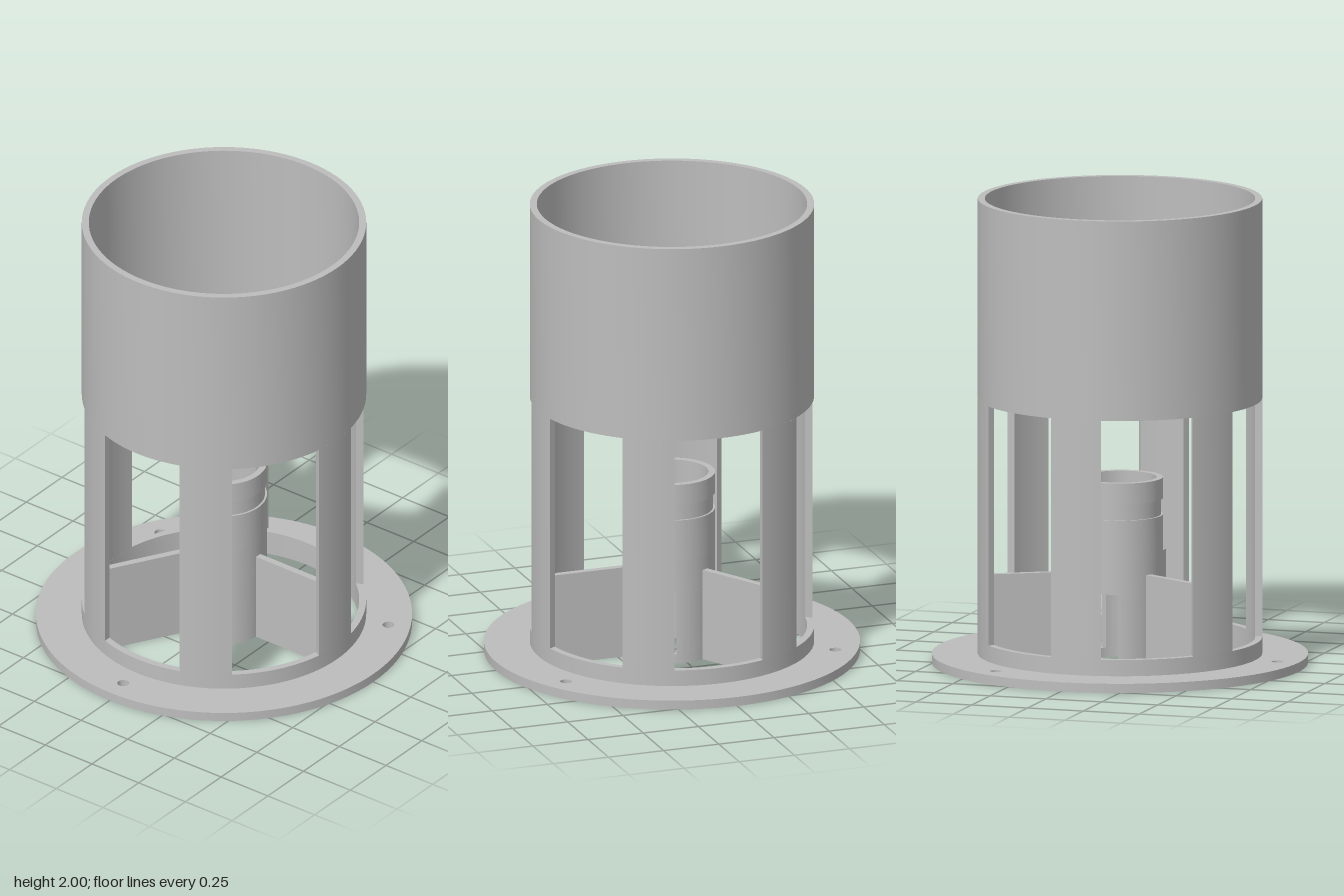
import * as THREE from 'three';
import { toCreasedNormals } from 'three/addons/utils/BufferGeometryUtils.js';

const TAU = Math.PI * 2;
const rad = THREE.MathUtils.degToRad;

export function createModel() {
  const grey = new THREE.MeshStandardMaterial({ color: 0xbdbdbd });
  grey.name = 'grey';
  const model = new THREE.Group();
  model.name = 'ventedTubeStand';

  const group = (name) => {
    const g = new THREE.Group();
    g.name = name;
    model.add(g);
    return g;
  };

  // Extrude a plan shape upwards from y0 to y1
  function slab(parent, name, shape, y0, y1, segments) {
    const geo = new THREE.ExtrudeGeometry(shape, { depth: y1 - y0, bevelEnabled: false, curveSegments: segments });
    geo.rotateX(-Math.PI / 2);
    const mesh = new THREE.Mesh(toCreasedNormals(geo, rad(25)), grey);
    mesh.name = name;
    mesh.position.y = y0;
    parent.add(mesh);
  }

  const hole = (x, y, r) => {
    const p = new THREE.Path();
    p.absarc(x, y, r, 0, TAU, true);
    return p;
  };

  function ringShape(outer, inner) {
    const s = new THREE.Shape();
    s.absarc(0, 0, outer, 0, TAU, false);
    s.holes.push(hole(0, 0, inner));
    return s;
  }

  // Tube wall interrupted by parallel-sided gaps centred on the given angles
  function slottedBand(parent, name, outer, inner, y0, y1, gaps, halfWidth) {
    const ao = Math.asin(halfWidth / outer);
    const ai = Math.asin(halfWidth / inner);
    gaps.forEach((deg, i) => {
      const start = rad(deg);
      const end = i + 1 < gaps.length ? rad(gaps[i + 1]) : rad(gaps[0]) + TAU;
      const s = new THREE.Shape();
      s.absarc(0, 0, outer, start + ao, end - ao, false);
      s.absarc(0, 0, inner, end - ai, start + ai, true);
      s.closePath();
      slab(parent, name, s, y0, y1, Math.ceil((48 * (end - start)) / TAU) + 2);
    });
  }

  // Base flange with three screw holes
  const flange = ringShape(0.8, 0.575);
  for (const deg of [30, 150, 270]) {
    flange.holes.push(hole(0.705 * Math.cos(rad(deg)), 0.705 * Math.sin(rad(deg)), 0.025));
  }
  slab(model, 'baseFlange', flange, 0, 0.04, 48);

  // Outer tube: lower collar, six pillars between windows, tall upper sleeve
  const outerTube = group('outerTube');
  const R = 0.605, r = 0.575;
  slab(outerTube, 'lowerCollar', ringShape(R, r), 0.04, 0.11, 48);
  slottedBand(outerTube, 'pillar', R, r, 0.11, 1.14, [30, 90, 150, 210, 270, 330], 0.2);
  slab(outerTube, 'upperSleeve', ringShape(R, r), 1.14, 2, 48);

  // Central holder: side slots low down, a narrow slit and a groove near the top
  const holder = group('centralHolder');
  const H = 0.183, h = 0.155, slit = [60];
  slab(holder, 'holderFoot', ringShape(H, h), 0, 0.04, 48);
  slottedBand(holder, 'slottedWall', H, h, 0.04, 0.32, [60, 180, 300], 0.05);
  slab(holder, 'holderWall', ringShape(H, h), 0.32, 0.46, 48);
  slottedBand(holder, 'slitWall', H, h, 0.46, 0.64, slit, 0.015);
  slottedBand(holder, 'groove', 0.174, h, 0.64, 0.71, slit, 0.015);
  slottedBand(holder, 'rim', H, h, 0.71, 0.8, slit, 0.015);

  // Radial boxes: stop lugs inside the holder, fins joining it to the outer tube
  function radialBox(parent, name, deg, r0, r1, y0, y1, width) {
    const geo = new THREE.BoxGeometry(r1 - r0, y1 - y0, width);
    geo.translate((r0 + r1) / 2, (y0 + y1) / 2, 0);
    const mesh = new THREE.Mesh(geo, grey);
    mesh.name = name;
    mesh.rotation.y = rad(deg);
    parent.add(mesh);
  }
  const fins = group('fins');
  for (const deg of [0, 120, 240]) {
    radialBox(fins, 'fin', deg, 0.17, 0.585, 0, 0.4, 0.03);
    radialBox(holder, 'stopLug', deg + 60, 0.102, 0.16, 0.4, 0.46, 0.05);
  }

  return model;
}
